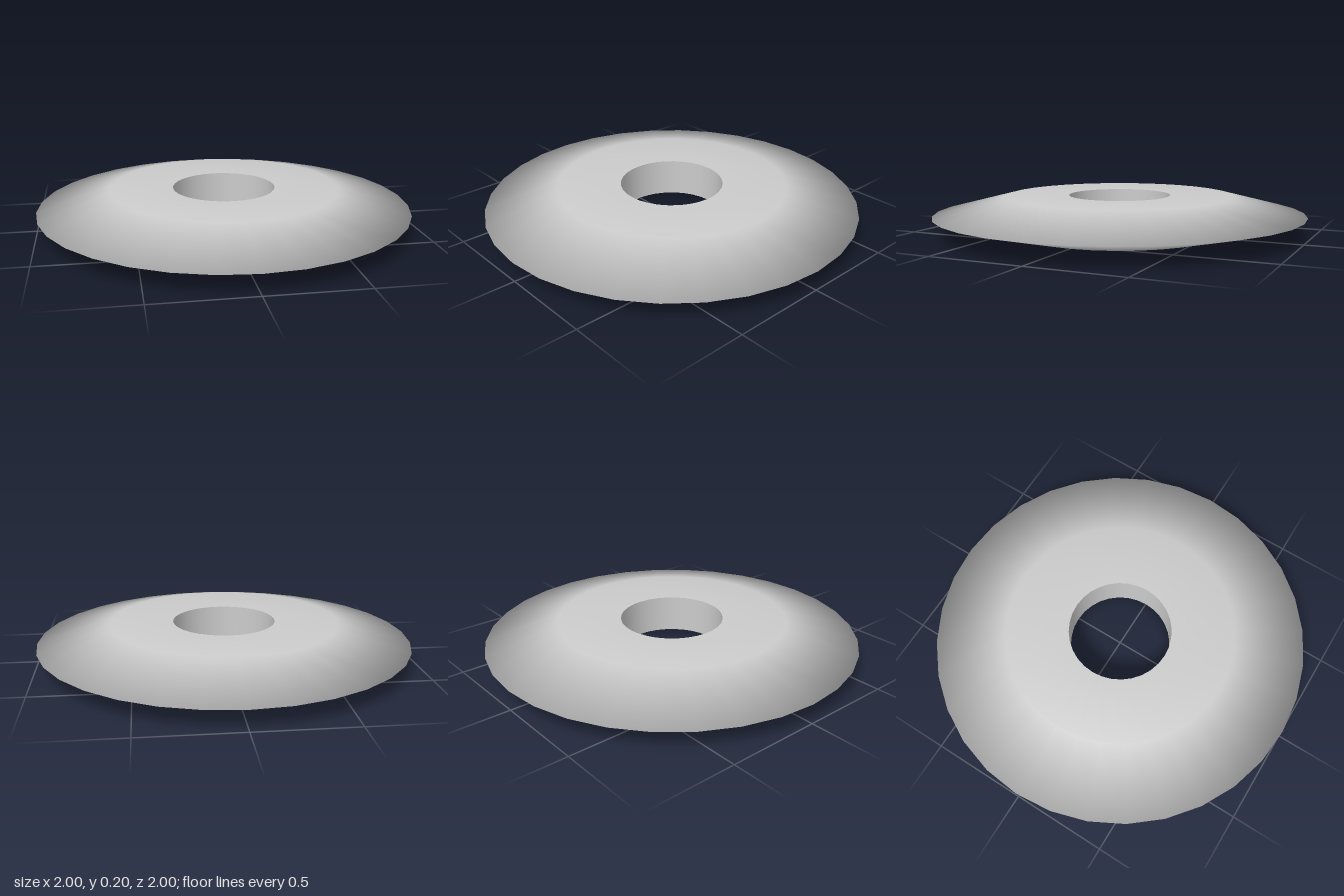
import * as THREE from 'three';

const SEGMENTS = 32;
const HOLE = 0.275;
const HEIGHT = 0.2;

// Surface of revolution from [radius, height] pairs
function revolve(name, profile, material) {
  const points = profile.map(([r, y]) => new THREE.Vector2(r, y));
  const mesh = new THREE.Mesh(new THREE.LatheGeometry(points, SEGMENTS), material);
  mesh.name = name;
  return mesh;
}

export function createModel() {
  const group = new THREE.Group();
  group.name = 'bevelledRing';
  const material = new THREE.MeshStandardMaterial({ color: 0xcccccc });

  // Flat faces tapering to a thin outer rim, shaded smoothly across the rim
  group.add(revolve('disc', [
    [HOLE, 0], [0.57, 0], [1, 0.103], [0.615, HEIGHT], [HOLE, HEIGHT],
  ], material));

  // Straight wall of the centre hole, facing inward with sharp edges
  group.add(revolve('holeWall', [[HOLE, HEIGHT], [HOLE, 0]], material));

  return group;
}
